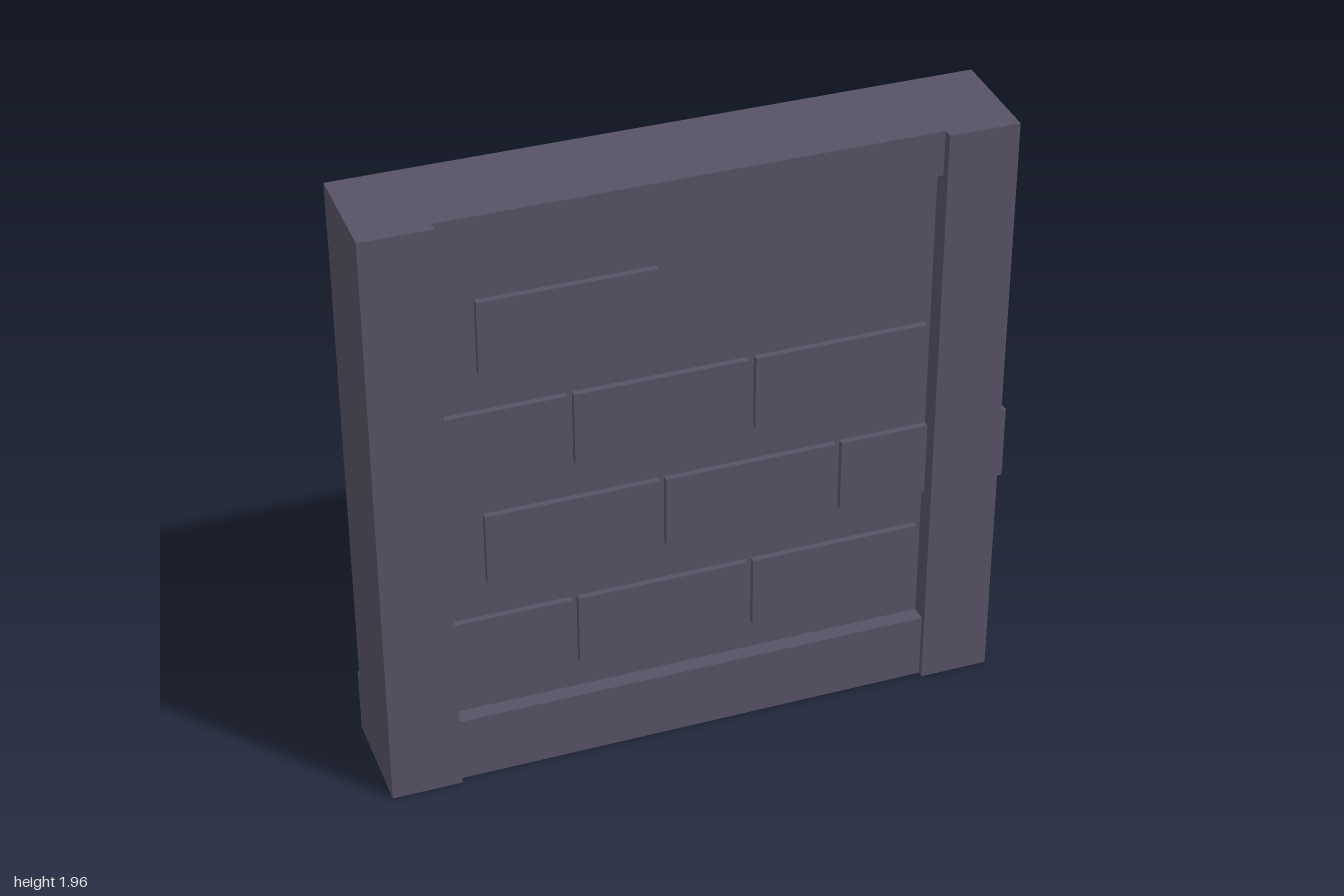
import * as THREE from 'three';

const slate = new THREE.MeshStandardMaterial({ color: 0x575366 });
slate.name = 'slate';

// Box given by its minimum and maximum on each axis
function block(name, [x0, x1], [y0, y1], [z0, z1]) {
  const mesh = new THREE.Mesh(new THREE.BoxGeometry(x1 - x0, y1 - y0, z1 - z0), slate);
  mesh.name = name;
  mesh.position.set((x0 + x1) / 2, (y0 + y1) / 2, (z0 + z1) / 2);
  return mesh;
}

export function createModel() {
  const wall = new THREE.Group();
  wall.name = 'wallPanel';

  // Frame: two posts, a top beam and a deeper sill
  wall.add(
    block('rightPost', [-1, -0.78], [0, 1.96], [-0.16, 0.18]),
    block('leftPost', [0.74, 0.96], [0, 1.96], [-0.16, 0.18]),
    block('topBeam', [-1, 0.96], [1.815, 1.96], [-0.165, 0.15]),
    block('sill', [-1, 0.96], [0, 0.22], [-0.18, 0.16]),
  );

  // Recessed infill between the posts
  wall.add(block('infill', [-0.8, 0.76], [0.2, 1.83], [-0.13, 0.11]));

  // Brick courses, each listed by the left edges of its bricks; one brick end pokes through the post
  const bricks = new THREE.Group();
  bricks.name = 'bricks';
  const courses = [
    { y: 0.32, starts: [-0.94, -0.38, 0.18] },
    { y: 0.69, starts: [-0.66, -0.10, 0.46] },
    { y: 1.055, starts: [-0.94, -0.38, 0.18] },
    { y: 1.425, starts: [-0.66] },
  ];
  for (const { y, starts } of courses) {
    for (const x of starts) {
      bricks.add(block('brick', [x, x + 0.54], [y, y + 0.243], [0.103, 0.13]));
    }
  }
  wall.add(bricks);
  return wall;
}
